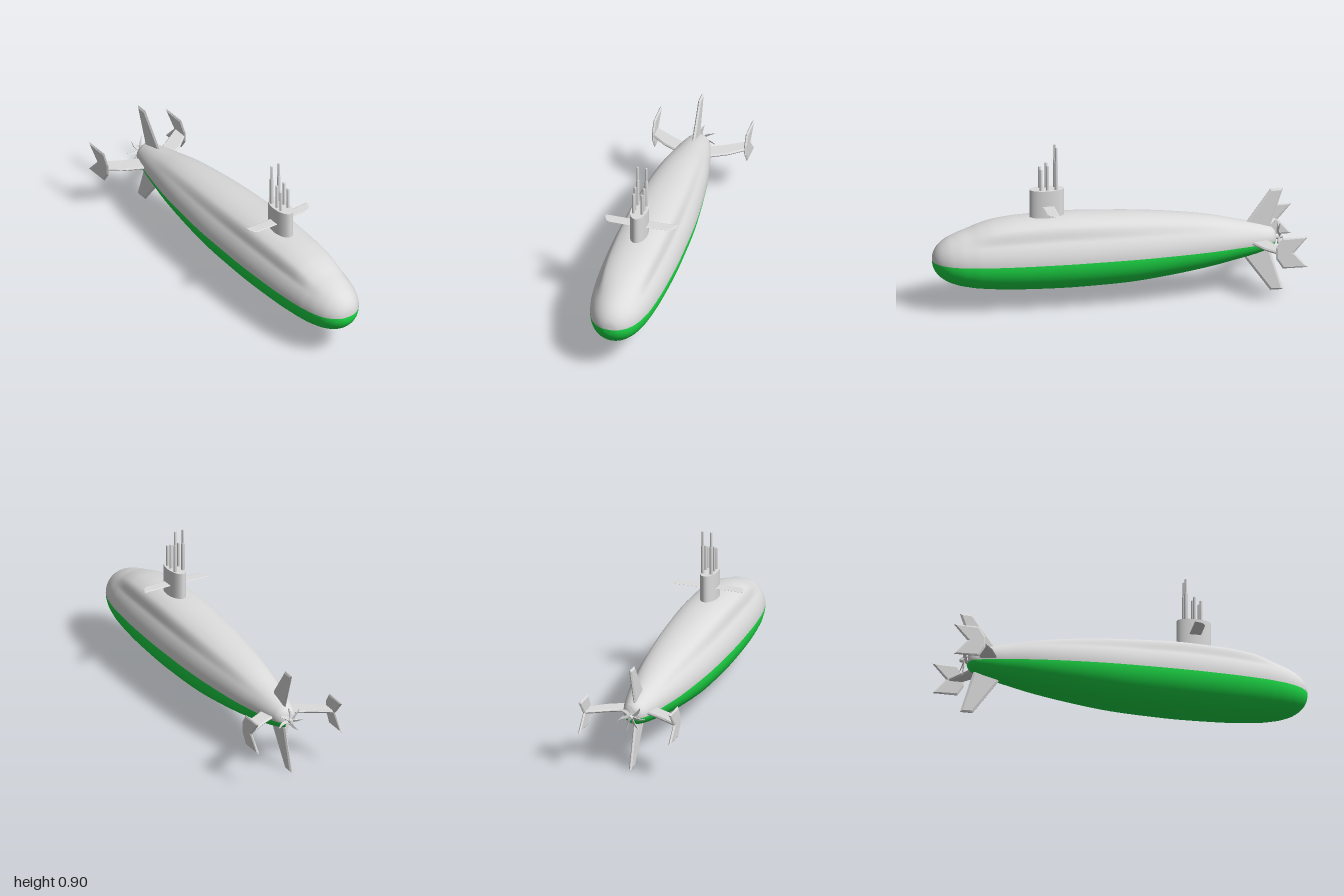
import * as THREE from 'three';

const grey = new THREE.MeshStandardMaterial({ name: 'hullGrey', color: 0xdcdcdc });
const green = new THREE.MeshStandardMaterial({ name: 'keelGreen', color: 0x1ede48 });

const WATERLINE = 0.29;
const AXIS_TAIL = 0.305;
const { smoothstep, clamp } = THREE.MathUtils;

// Hull stations from nose to tail: z, radius, strength of the deck casing
const stations = [
  [1, 0, 0], [0.993, 0.042, 0], [0.97, 0.08, 0], [0.93, 0.113, 0], [0.88, 0.136, 0.04],
  [0.8, 0.157, 0.25], [0.73, 0.168, 0.65], [0.65, 0.176, 0.92], [0.55, 0.183, 1], [0.3, 0.19, 1],
  [0.1, 0.187, 0.9], [-0.1, 0.18, 0.72], [-0.3, 0.163, 0.55], [-0.5, 0.138, 0.32],
  [-0.65, 0.109, 0.1], [-0.73, 0.092, 0.04], [-0.8, 0.073, 0], [-0.84, 0.058, 0],
  [-0.862, 0.036, 0], [-0.87, 0, 0],
];
const hullCurve = new THREE.CatmullRomCurve3(stations.map((s) => new THREE.Vector3(...s)));

// One half of the hull, above or below the waterline
function hullHalf(upper) {
  const rings = 133, segs = 56, pos = [], index = [];
  for (let i = 0; i <= rings; i++) {
    const p = hullCurve.getPoint(i / rings);
    const z = p.x, r = Math.max(p.y, 0), w = clamp(p.z, 0, 1);
    const yc = WATERLINE + (AXIS_TAIL - WATERLINE) * smoothstep(-z, -0.1, 0.65);
    const t0 = Math.asin(clamp((WATERLINE - yc) / Math.max(r, 1e-4), -1, 1));
    const from = upper ? t0 : Math.PI - t0;
    const to = upper ? Math.PI - t0 : 2 * Math.PI + t0;
    for (let j = 0; j <= segs; j++) {
      const t = from + (to - from) * j / segs;
      const deg = upper ? 90 - Math.abs(90 - t * 180 / Math.PI) : 0;
      const bulge = 0.188 * smoothstep(deg, 37, 60) - 0.014 * smoothstep(deg, 64, 90);
      const rad = r * (1 + w * bulge);
      pos.push(rad * Math.cos(t), yc + rad * Math.sin(t), z);
      if (i < rings && j < segs) {
        const a = i * (segs + 1) + j, b = a + 1, c = a + segs + 1, d = c + 1;
        index.push(a, c, b, b, c, d);
      }
    }
  }
  const g = new THREE.BufferGeometry();
  g.setAttribute('position', new THREE.Float32BufferAttribute(pos, 3));
  g.setIndex(index);
  g.computeVertexNormals();
  return g;
}

// Flat fin with chamfered edges, centred on its own plane
function plate(points, thickness, chamfer) {
  const shape = new THREE.Shape(points.map(([u, v]) => new THREE.Vector2(u, v)));
  const bevel = thickness * 0.42, depth = thickness - 2 * bevel;
  const g = new THREE.ExtrudeGeometry(shape, {
    depth, bevelEnabled: true, bevelThickness: bevel,
    bevelSize: chamfer, bevelOffset: -chamfer, bevelSegments: 1,
  });
  return g.translate(0, 0, -depth / 2);
}
const upright = (pts, t, c) => plate(pts, t, c).rotateY(-Math.PI / 2); // points are z, y
const level = (pts, t, c) => plate(pts, t, c).rotateX(Math.PI / 2); // points are x, z

export function createModel() {
  const model = new THREE.Group();
  model.name = 'submarine';
  const add = (name, geometry, parent = model, material = grey) => {
    const mesh = new THREE.Mesh(geometry, material);
    mesh.name = name;
    parent.add(mesh);
    return mesh;
  };

  add('upperHull', hullHalf(true));
  add('lowerHull', hullHalf(false), model, green);

  // Sail
  const sail = add('sail', new THREE.CylinderGeometry(1, 1, 0.183, 48));
  sail.scale.set(0.046, 1, 0.094);
  sail.position.set(0, 0.5705, 0.377);

  // Masts in three pairs
  const masts = new THREE.Group();
  masts.name = 'masts';
  model.add(masts);
  const mast = (name, x, z, r, y0, y1) => {
    const tip = r * 0.4;
    const profile = [[0, y0], [r, y0], [r, y1 - tip], [r * 0.6, y1], [0, y1]];
    const lathe = new THREE.LatheGeometry(profile.map(([a, b]) => new THREE.Vector2(a, b)), 16);
    add(name, lathe, masts).position.set(x, 0, z);
  };

  for (const side of [1, -1]) {
    const label = side > 0 ? 'left' : 'right';
    const x = side * 0.024;
    mast(label + 'FrontMast', x, 0.412, 0.008, 0.65, 0.783);
    mast(label + 'MiddleMast', x, 0.377, 0.008, 0.65, 0.803);
    mast(label + 'RearMast', x, 0.329, 0.0098, 0.65, 0.822);
    mast(label + 'RearMastTop', x, 0.329, 0.0066, 0.81, 0.903);

    const flip = (pts) => pts.map(([u, v]) => [side * u, v]);
    // Sail planes
    add(label + 'SailPlane', level(flip([
      [0.02, 0.345], [0.203, 0.338], [0.196, 0.367], [0.186, 0.388], [0.168, 0.402], [0.02, 0.409],
    ]), 0.005, 0.006)).position.y = 0.573;

    // Stern planes and their end plates
    add(label + 'SternPlane', level(flip([
      [0, -0.69], [0.085, -0.722], [0.18, -0.772], [0.256, -0.834],
      [0.256, -0.916], [0.127, -0.842], [0.06, -0.812], [0, -0.8],
    ]), 0.017, 0.006)).position.y = AXIS_TAIL;
    add(label + 'EndPlate', upright([
      [-0.862, 0.392], [-0.826, 0.335], [-0.826, 0.275], [-0.862, 0.218],
      [-1, 0.218], [-0.925, 0.305], [-1, 0.392],
    ], 0.013, 0.01)).position.x = side * 0.256;
  }

  // Rudders
  add('upperRudder', upright([
    [-0.69, 0.37], [-0.71, 0.402], [-0.838, 0.58], [-0.908, 0.58], [-0.835, 0.36], [-0.82, 0.32],
  ], 0.016, 0.012));
  add('lowerRudder', upright([
    [-0.68, 0.23], [-0.703, 0.19], [-0.838, 0], [-0.908, 0], [-0.835, 0.24], [-0.82, 0.28],
  ], 0.016, 0.012));

  // Propeller with curved blades
  const propeller = new THREE.Group();
  propeller.name = 'propeller';
  propeller.position.set(0, AXIS_TAIL, -0.885);
  model.add(propeller);
  add('propellerHub', new THREE.CylinderGeometry(0.017, 0.01, 0.045, 20).rotateX(Math.PI / 2), propeller);
  const blade = new THREE.Shape();
  blade.moveTo(-0.006, 0.008);
  blade.quadraticCurveTo(-0.022, 0.045, 0.016, 0.079);
  blade.quadraticCurveTo(0.002, 0.04, 0.008, 0.008);
  const bladeGeometry = new THREE.ExtrudeGeometry(blade, { depth: 0.004, bevelEnabled: false, curveSegments: 8 });
  bladeGeometry.translate(0, 0, -0.002).rotateY(0.5);
  const blades = 7;
  for (let i = 0; i < blades; i++) {
    add('propellerBlade', bladeGeometry, propeller).rotation.z = i * 2 * Math.PI / blades;
  }

  return model;
}
